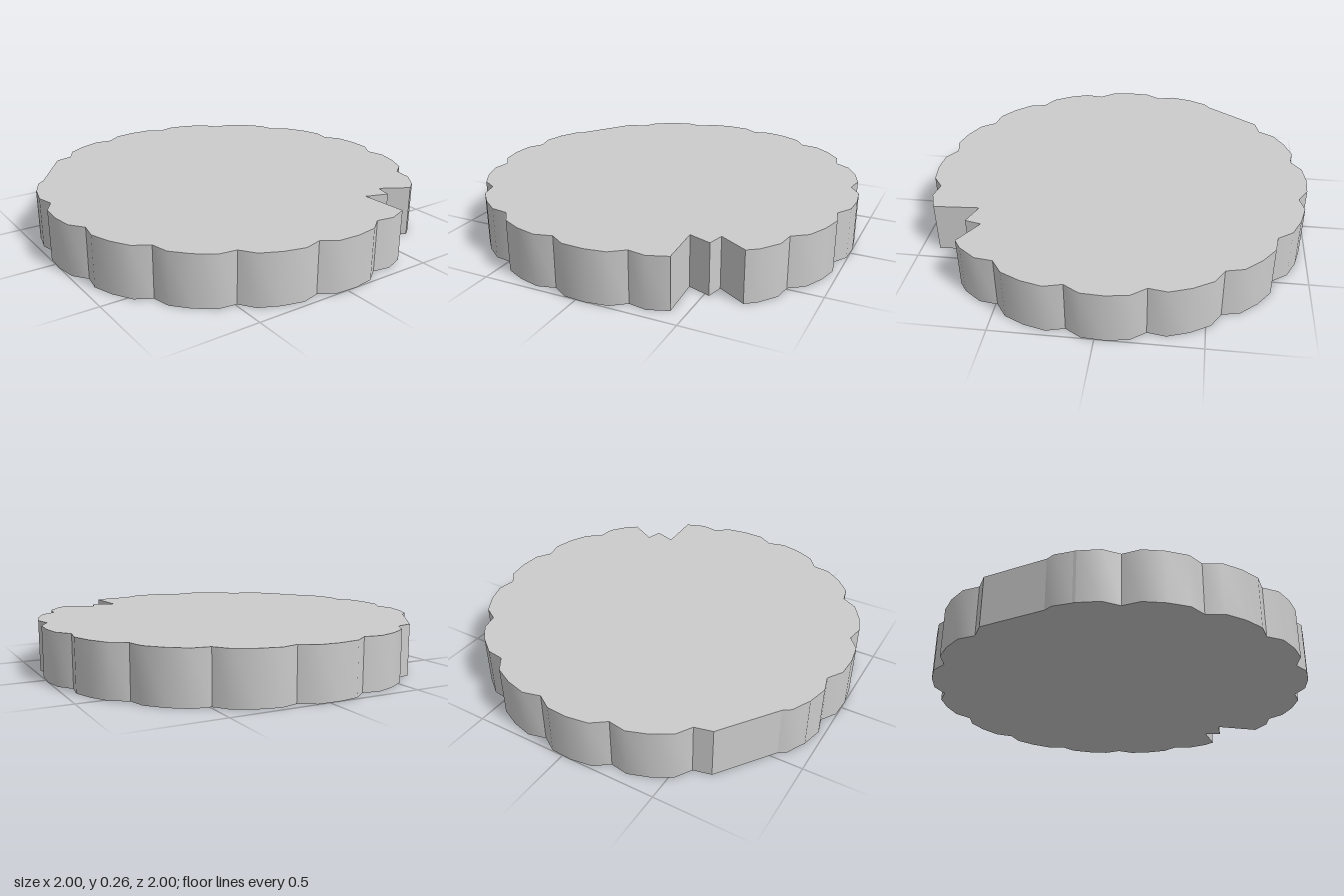
import * as THREE from 'three';
import { toCreasedNormals } from 'three/addons/utils/BufferGeometryUtils.js';

const LOBES = 16;
const PITCH = 360 / LOBES;
const FIRST_CUSP = 8.4; // degrees clockwise from the back, seen from above
const HEIGHT = 0.265;

// One scallop: [angle from its starting cusp, radius]
const LOBE = [[0, 0.957], [4.9, 0.997], [PITCH / 2, 1.002], [PITCH - 4.9, 0.997]];

// Broken edges: key is "lobe:step", value replaces that outline point ([x, z] list)
const BREAKS = {
  '5:3': [[0.69, 0.71]],
  '6:0': [[0.545, 0.625]],
  '6:1': [[0.525, 0.71], [0.41, 0.67]],
  '6:2': [[0.425, 0.905]],
  '13:1': [[-0.74, -0.365]],
  '13:2': [[-0.945, -0.34]],
};

function outline() {
  const points = [];
  for (let i = 0; i < LOBES; i++) {
    LOBE.forEach(([angle, r], j) => {
      const a = THREE.MathUtils.degToRad(FIRST_CUSP + i * PITCH + angle);
      const spots = BREAKS[`${i}:${j}`] ?? [[r * Math.sin(a), -r * Math.cos(a)]];
      spots.forEach(([x, z]) => points.push(new THREE.Vector2(x, -z)));
    });
  }
  return points;
}

export function createModel() {
  const group = new THREE.Group();
  group.name = 'scallopedDisc';

  // Flat disc with a scalloped rim and two chipped notches
  const geometry = new THREE.ExtrudeGeometry(new THREE.Shape(outline()), {
    depth: HEIGHT,
    bevelEnabled: false,
  });
  geometry.rotateX(-Math.PI / 2);

  // Smooth inside each scallop, sharp at cusps, notches and caps
  const disc = new THREE.Mesh(
    toCreasedNormals(geometry, 0.65),
    new THREE.MeshStandardMaterial({ color: 0xcccccc })
  );
  disc.name = 'disc';
  group.add(disc);
  return group;
}
